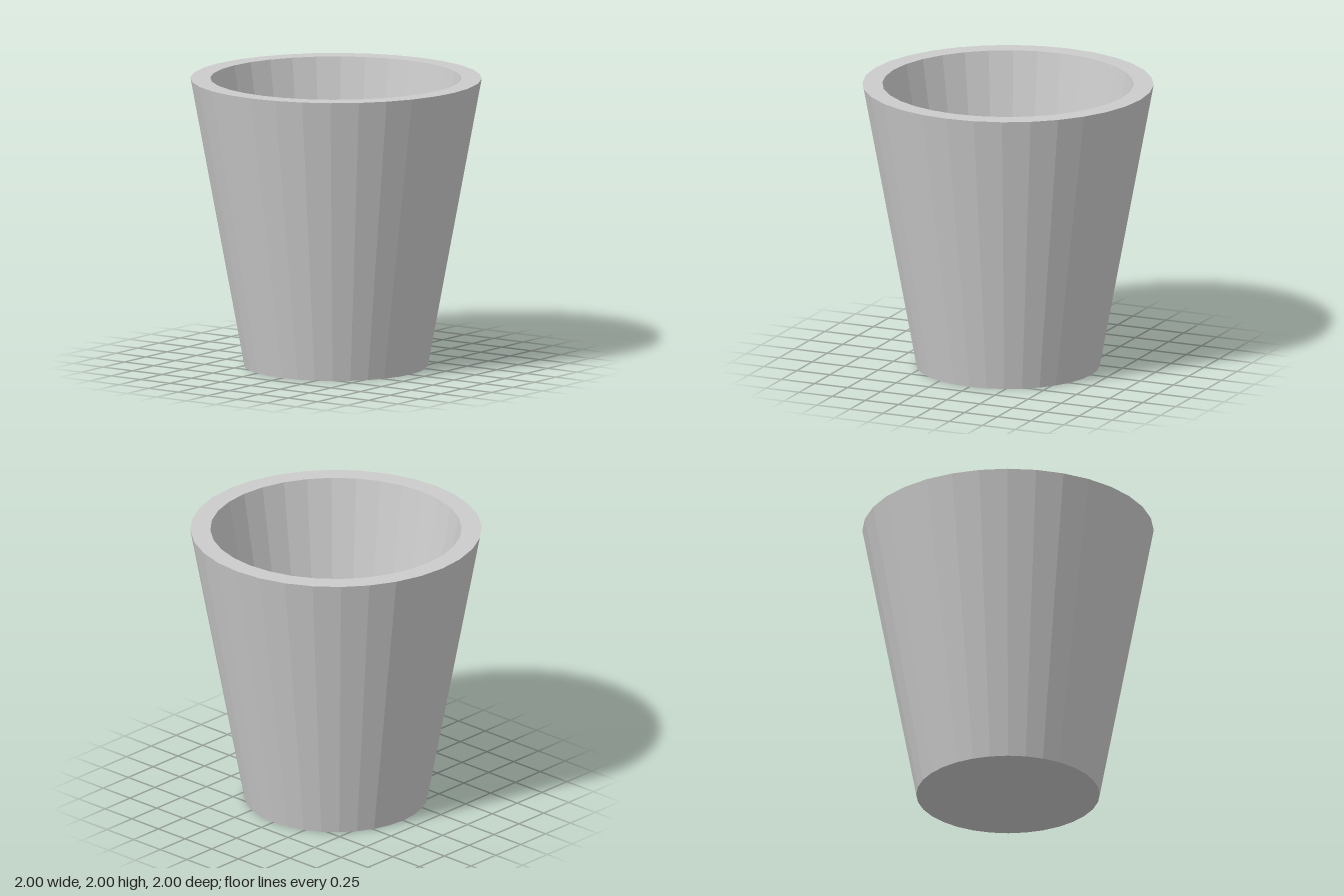
import * as THREE from 'three';

const SIDES = 32;

export function createModel() {
  const group = new THREE.Group();
  group.name = 'taperedPot';
  const material = new THREE.MeshStandardMaterial({ color: 0xcccccc, flatShading: true });

  // Closed profile: underside, outer wall, flat rim, inner wall, floor
  const profile = [
    [0, 0], [0.63, 0], [1, 2], [0.863, 2], [0.595, 0.54], [0, 0.54],
  ].map(([r, y]) => new THREE.Vector2(r, y));

  const pot = new THREE.Mesh(new THREE.LatheGeometry(profile, SIDES), material);
  pot.name = 'pot';
  group.add(pot);
  return group;
}
